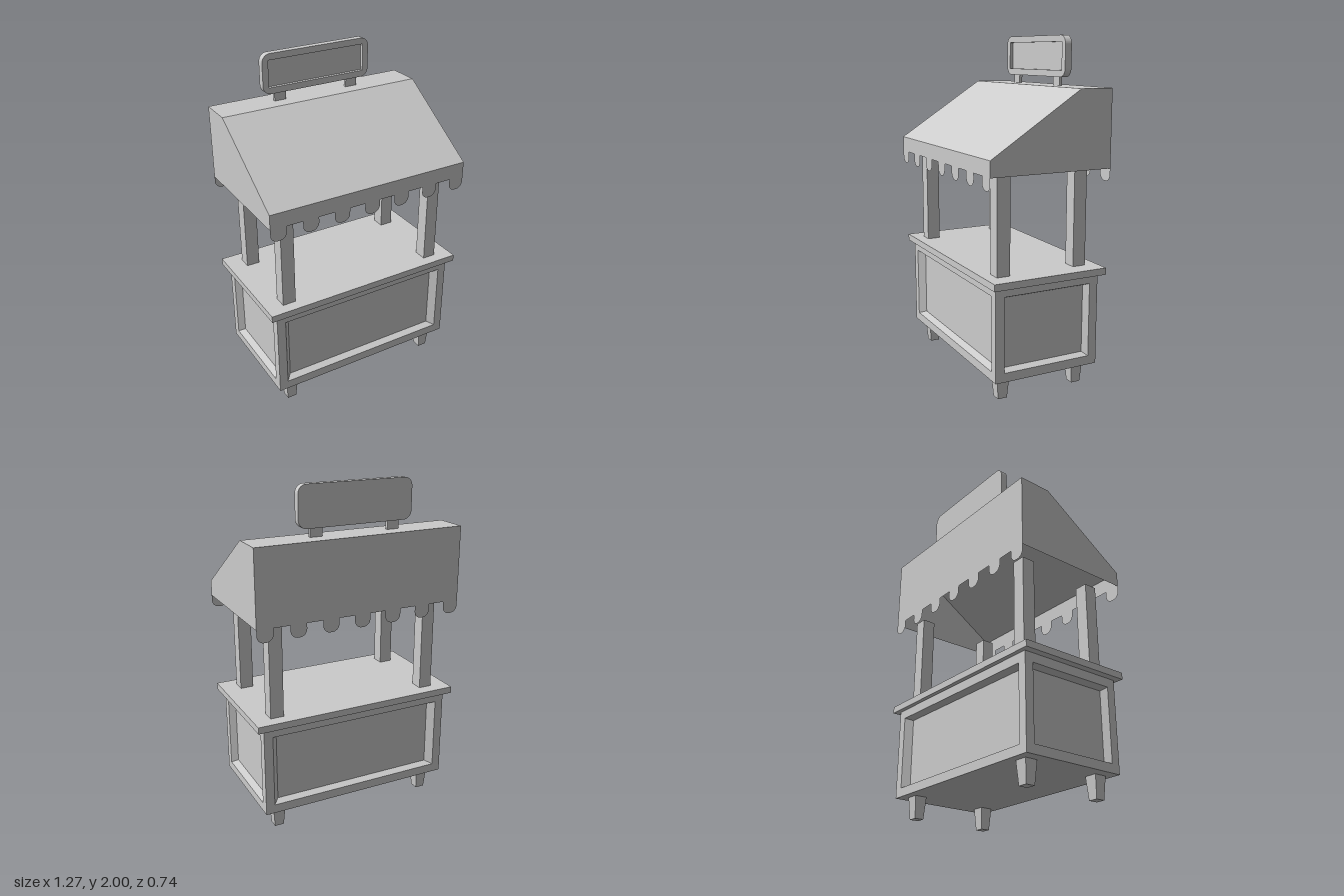
import * as THREE from 'three';

const grey = new THREE.MeshStandardMaterial({ color: 0xcccccc, flatShading: true });
const thin = new THREE.MeshStandardMaterial({ color: 0xcccccc, flatShading: true, side: THREE.DoubleSide });

function add(parent, name, geometry, x = 0, y = 0, z = 0, material = grey) {
  const mesh = new THREE.Mesh(geometry, material);
  mesh.name = name;
  mesh.position.set(x, y, z);
  parent.add(mesh);
  return mesh;
}

// Rectangular face with a sunken panel: four corner rings joined by bands, last ring filled
function recessedFace(w, h, margin, bevelX, bevelY, depth) {
  const ring = (hw, hh, z) => [[-hw, -hh, z], [hw, -hh, z], [hw, hh, z], [-hw, hh, z]];
  const pw = w / 2 - margin, ph = h / 2 - margin;
  const rings = [ring(w / 2, h / 2, 0), ring(pw, ph, 0), ring(pw - bevelX, ph - bevelY, -depth)];
  const pos = [];
  const quad = (a, b, c, d) => pos.push(...a, ...b, ...c, ...a, ...c, ...d);
  for (let r = 0; r < 2; r++) {
    for (let i = 0; i < 4; i++) {
      const j = (i + 1) % 4;
      quad(rings[r][i], rings[r][j], rings[r + 1][j], rings[r + 1][i]);
    }
  }
  quad(...rings[2]);
  const g = new THREE.BufferGeometry();
  g.setAttribute('position', new THREE.Float32BufferAttribute(pos, 3));
  g.computeVertexNormals();
  return g;
}

function roundedRect(w, h, r) {
  const s = new THREE.Shape();
  s.absarc(w / 2 - r, h / 2 - r, r, 0, Math.PI / 2);
  s.absarc(-w / 2 + r, h / 2 - r, r, Math.PI / 2, Math.PI);
  s.absarc(-w / 2 + r, -h / 2 + r, r, Math.PI, Math.PI * 1.5);
  s.absarc(w / 2 - r, -h / 2 + r, r, Math.PI * 1.5, Math.PI * 2);
  s.closePath();
  return s;
}

// Upright wall whose lower edge carries evenly spaced rounded tabs
function scallopedWall(halfWidth, top, base, tip) {
  const step = (2 * halfWidth) / 13, r = step * 0.44;
  const s = new THREE.Shape();
  s.moveTo(-halfWidth, top);
  for (let i = 0; i < 13; i += 2) {
    const a = -halfWidth + i * step, b = a + step;
    s.lineTo(a, base);
    s.lineTo(a, tip + r);
    s.absarc(a + r, tip + r, r, Math.PI, Math.PI * 1.5, false);
    s.absarc(b - r, tip + r, r, Math.PI * 1.5, Math.PI * 2, false);
    s.lineTo(b, base);
  }
  s.lineTo(halfWidth, top);
  s.closePath();
  return new THREE.ShapeGeometry(s, 6);
}

function createCabinet() {
  const g = new THREE.Group();
  g.name = 'cabinet';
  const w = 1.19, h = 0.54, d = 0.65, y = 0.4, z = -0.005;
  for (const s of [1, -1]) {
    const long = add(g, s > 0 ? 'frontPanel' : 'backPanel',
      recessedFace(w, h, 0.053, 0.036, 0.016, 0.04), 0, y, z + s * d / 2);
    long.rotation.y = s > 0 ? 0 : Math.PI;
    const side = add(g, s > 0 ? 'leftPanel' : 'rightPanel',
      recessedFace(d, h, 0.053, 0.02, 0.016, 0.04), s * w / 2, y, z);
    side.rotation.y = s * Math.PI / 2;
    const cap = add(g, s > 0 ? 'cabinetTop' : 'cabinetBottom',
      new THREE.PlaneGeometry(w, d), 0, y + s * h / 2, z);
    cap.rotation.x = -s * Math.PI / 2;
  }
  add(g, 'counterTop', new THREE.BoxGeometry(1.274, 0.04, 0.705), 0, 0.69, -0.005);
  return g;
}

function createCanopy() {
  const g = new THREE.Group();
  g.name = 'canopy';
  const hw = 0.633, base = 1.275, tip = 1.2, eave = 1.365, top = 1.715;
  const front = 0.37, back = -0.37, ridge = -0.172;
  add(g, 'frontValance', scallopedWall(hw, eave, base, tip), 0, 0, front, thin);
  add(g, 'backWall', scallopedWall(hw, top, base, tip), 0, 0, back, thin).rotation.y = Math.PI;
  // Side walls drawn in (z, y)
  const side = new THREE.Shape([[back, base], [front, base], [front, eave], [ridge, top], [back, top]]
    .map(([a, b]) => new THREE.Vector2(a, b)));
  for (const s of [1, -1]) {
    add(g, s > 0 ? 'leftWall' : 'rightWall',
      new THREE.ShapeGeometry(side).rotateY(-Math.PI / 2), s * hw, 0, 0, thin);
  }
  // Sloped roof and flat ridge
  const slope = new THREE.PlaneGeometry(2 * hw, Math.hypot(front - ridge, top - eave));
  add(g, 'slopedRoof', slope, 0, (top + eave) / 2, (front + ridge) / 2, thin)
    .rotation.x = -Math.atan2(front - ridge, top - eave);
  add(g, 'flatRoof', new THREE.PlaneGeometry(2 * hw, ridge - back), 0, top, (ridge + back) / 2, thin)
    .rotation.x = -Math.PI / 2;
  return g;
}

function createSign() {
  const g = new THREE.Group();
  g.name = 'sign';
  const w = 0.695, h = 0.235, r = 0.05;
  const plate = (shape, depth) =>
    new THREE.ExtrudeGeometry(shape, { depth, bevelEnabled: false, curveSegments: 5 });
  add(g, 'signBack', plate(roundedRect(w, h, r), 0.022), 0, 1.8825, -0.287);
  const frame = roundedRect(w, h, r);
  frame.holes.push(new THREE.Path([[-0.31, -0.08], [-0.31, 0.08], [0.31, 0.08], [0.31, -0.08]]
    .map(([a, b]) => new THREE.Vector2(a, b))));
  add(g, 'signFrame', plate(frame, 0.02), 0, 1.8825, -0.265);
  for (const s of [1, -1]) {
    add(g, 'signBracket', new THREE.BoxGeometry(0.072, 0.06, 0.018), s * 0.237, 1.74, -0.264);
  }
  return g;
}

export function createModel() {
  const model = new THREE.Group();
  model.name = 'marketStall';
  model.add(createCabinet(), createCanopy(), createSign());

  // Tapered feet and square posts at the four corners
  for (const sx of [1, -1]) {
    for (const z of [0.24, -0.243]) {
      const foot = new THREE.CylinderGeometry(0.038 * Math.SQRT2, 0.028 * Math.SQRT2, 0.13, 4)
        .rotateY(Math.PI / 4);
      add(model, 'foot', foot, sx * 0.493, 0.065, z);
      add(model, 'post', new THREE.BoxGeometry(0.08, 0.565, 0.08), sx * 0.493, 0.9925, z);
    }
  }
  return model;
}
